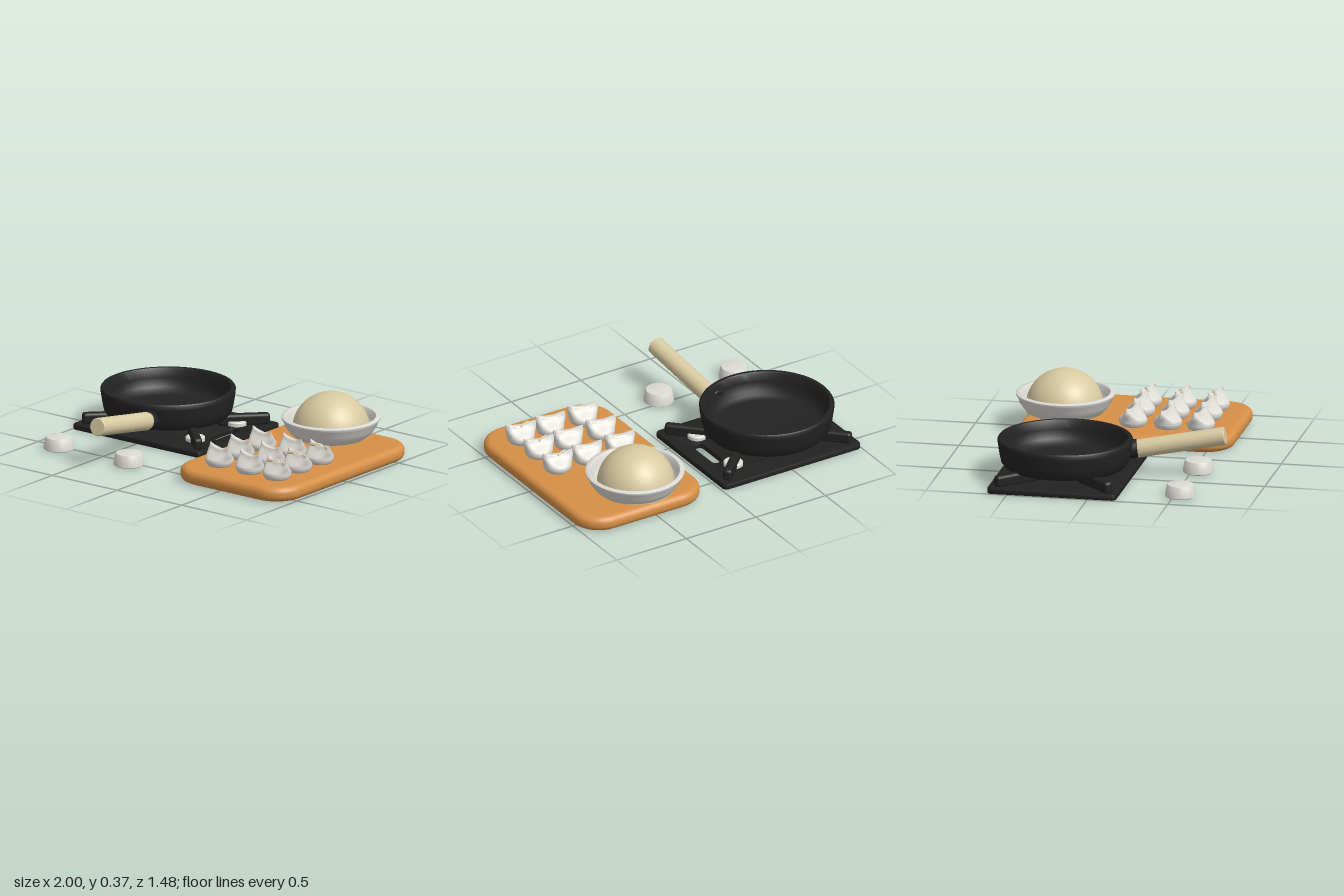
import * as THREE from 'three';
import { toCreasedNormals } from 'three/addons/utils/BufferGeometryUtils.js';
import { RoundedBoxGeometry } from 'three/addons/geometries/RoundedBoxGeometry.js';

const mat = (name, color) => Object.assign(new THREE.MeshStandardMaterial({ color }), { name });

function roundRect(path, cx, cy, w, h, r) {
  const x = w / 2 - r, y = h / 2 - r;
  path.absarc(cx + x, cy + y, r, 0, Math.PI / 2);
  path.absarc(cx - x, cy + y, r, Math.PI / 2, Math.PI);
  path.absarc(cx - x, cy - y, r, Math.PI, Math.PI * 1.5);
  path.absarc(cx + x, cy - y, r, Math.PI * 1.5, Math.PI * 2);
  path.closePath();
  return path;
}

// Lying slab with rounded edges, standing on y = 0
function slab(shape, height, bevel, segments) {
  const g = new THREE.ExtrudeGeometry(shape, {
    depth: height - 2 * bevel, bevelThickness: bevel, bevelSize: bevel, bevelOffset: -bevel,
    bevelSegments: segments, curveSegments: 12,
  });
  g.rotateX(-Math.PI / 2).translate(0, bevel, 0);
  return toCreasedNormals(g, 0.6);
}

function lathe(points, segments = 64, crease = 0.7) {
  const g = new THREE.LatheGeometry(points.map(([x, y]) => new THREE.Vector2(x, y)), segments);
  return toCreasedNormals(g, crease);
}

// Dumpling: round body pinched into a crest along x, with raised ends and pleats
function dumplingGeometry() {
  const curve = new THREE.SplineCurve([[0.001, 0], [0.066, 0], [0.083, 0.018], [0.087, 0.04], [0.078, 0.065],
    [0.062, 0.09], [0.05, 0.106], [0.001, 0.104]].map(([x, y]) => new THREE.Vector2(x, y)));
  const g = new THREE.LatheGeometry(curve.getPoints(24), 40);
  const p = g.attributes.position;
  for (let i = 0; i < p.count; i++) {
    const y = p.getY(i), s = THREE.MathUtils.smoothstep(y, 0.04, 0.106);
    const a = Math.atan2(p.getZ(i), p.getX(i));
    const ripple = 1 + 0.06 * Math.sin(6 * a) * s;
    const x = p.getX(i) * (1 + 0.6 * s) * ripple;
    p.setXYZ(i, x, y + 0.018 * s * (x / 0.08) ** 2, p.getZ(i) * (1 - 0.7 * s) * ripple);
  }
  return toCreasedNormals(g, 0.9);
}

export function createModel() {
  const model = new THREE.Group();
  const black = mat('cast iron black', 0x222222);
  const wood = mat('board wood', 0xd68f47);
  const cream = mat('dough cream', 0xd8c9a0);
  const white = mat('porcelain white', 0xdcdad4);

  const add = (name, geometry, material, x = 0, y = 0, z = 0) => {
    const mesh = new THREE.Mesh(geometry, material);
    mesh.name = name;
    mesh.position.set(x, y, z);
    model.add(mesh);
    return mesh;
  };
  const rod = (name, a, b, r, material) => {
    const from = new THREE.Vector3(...a), to = new THREE.Vector3(...b);
    const dir = to.clone().sub(from), L = dir.length();
    const mesh = add(name, lathe([[0, 0], [r - 0.006, 0], [r, 0.006], [r, L - 0.006], [r - 0.006, L], [0, L]], 32),
      material);
    mesh.position.copy(from);
    mesh.quaternion.setFromUnitVectors(new THREE.Vector3(0, 1, 0), dir.normalize());
  };

  // Cutting board
  add('cuttingBoard', slab(roundRect(new THREE.Shape(), 0, 0, 0.88, 1.335, 0.19), 0.092, 0.04, 6), wood,
    0.56, 0, -0.015);

  // Stove plate with a slot near its left edge
  const plate = roundRect(new THREE.Shape(), 0, 0, 0.985, 0.8, 0.03);
  plate.holes.push(roundRect(new THREE.Path(), 0.365, 0, 0.07, 0.26, 0.025));
  add('stovePlate', slab(plate, 0.036, 0.006, 2), black, -0.505, 0, -0.225);

  // Pan supports at the four corners
  for (const sx of [-1, 1]) for (const sz of [-1, 1]) {
    const bar = add('panSupport', new RoundedBoxGeometry(0.32, 0.075, 0.055, 3, 0.02), black,
      -0.505 + sx * 0.335, 0.066, -0.225 + sz * 0.24);
    bar.rotation.y = -sx * sz * Math.PI / 4;
  }

  // Small fixed dials under the left supports
  for (const z of [-0.43, -0.02])
    add('stoveDial', lathe([[0, 0], [0.06, 0], [0.06, 0.022], [0.054, 0.028], [0, 0.028]], 32), white, -0.195, 0.034, z);

  // Pan
  add('pan', lathe([[0, 0.08], [0.33, 0.08], [0.37, 0.09], [0.39, 0.115], [0.4, 0.16], [0.41, 0.225], [0.412, 0.25],
    [0.405, 0.26], [0.385, 0.26], [0.378, 0.252], [0.372, 0.2], [0.36, 0.145], [0.34, 0.122], [0.3, 0.112],
    [0, 0.11]]), black, -0.565, 0, -0.225);
  rod('panNeck', [-0.425, 0.16, 0.12], [-0.409, 0.17, 0.195], 0.058, black);
  rod('panHandle', [-0.41, 0.166, 0.185], [-0.365, 0.267, 0.728], 0.056, cream);

  // Small upturned cups in front of the stove
  for (const x of [-0.81, -0.27])
    add('smallCup', lathe([[0, 0], [0.085, 0], [0.094, 0.006], [0.092, 0.02], [0.083, 0.07], [0.078, 0.078],
      [0.07, 0.08], [0, 0.08]], 40), white, x, 0, 0.54);

  // Mixing bowl and the dough ball in it
  add('bowl', lathe([[0, 0.09], [0.19, 0.09], [0.222, 0.1], [0.255, 0.13], [0.28, 0.165], [0.292, 0.2], [0.302, 0.212],
    [0.302, 0.222], [0.295, 0.227], [0.275, 0.227], [0.268, 0.22], [0.26, 0.18], [0.243, 0.145], [0.21, 0.12],
    [0, 0.112]]), white, 0.52, 0, -0.445);
  add('doughBall', new THREE.SphereGeometry(0.238, 48, 24, 0, Math.PI * 2, 0, Math.PI * 0.53), cream,
    0.517, 0.132, -0.45);

  // Dumplings in a three by three grid, with filling showing in the left column
  const dumpling = dumplingGeometry();
  const filling = new THREE.SphereGeometry(1, 16, 10);
  for (const x of [0.345, 0.58, 0.79]) for (const z of [0.01, 0.225, 0.43]) {
    add('dumpling', dumpling, white, x, 0.09, z).rotation.y = -0.22;
    if (x < 0.7) continue;
    const end = add('fillingEnd', filling, cream, x + 0.073, 0.187, z + 0.018);
    end.scale.set(0.012, 0.026, 0.012);
    end.rotation.x = 0.5;
    const top = add('fillingTop', filling, cream, x - 0.03, 0.196, z);
    top.scale.set(0.045, 0.012, 0.01);
    top.rotation.y = 0.4;
  }
  return model;
}
